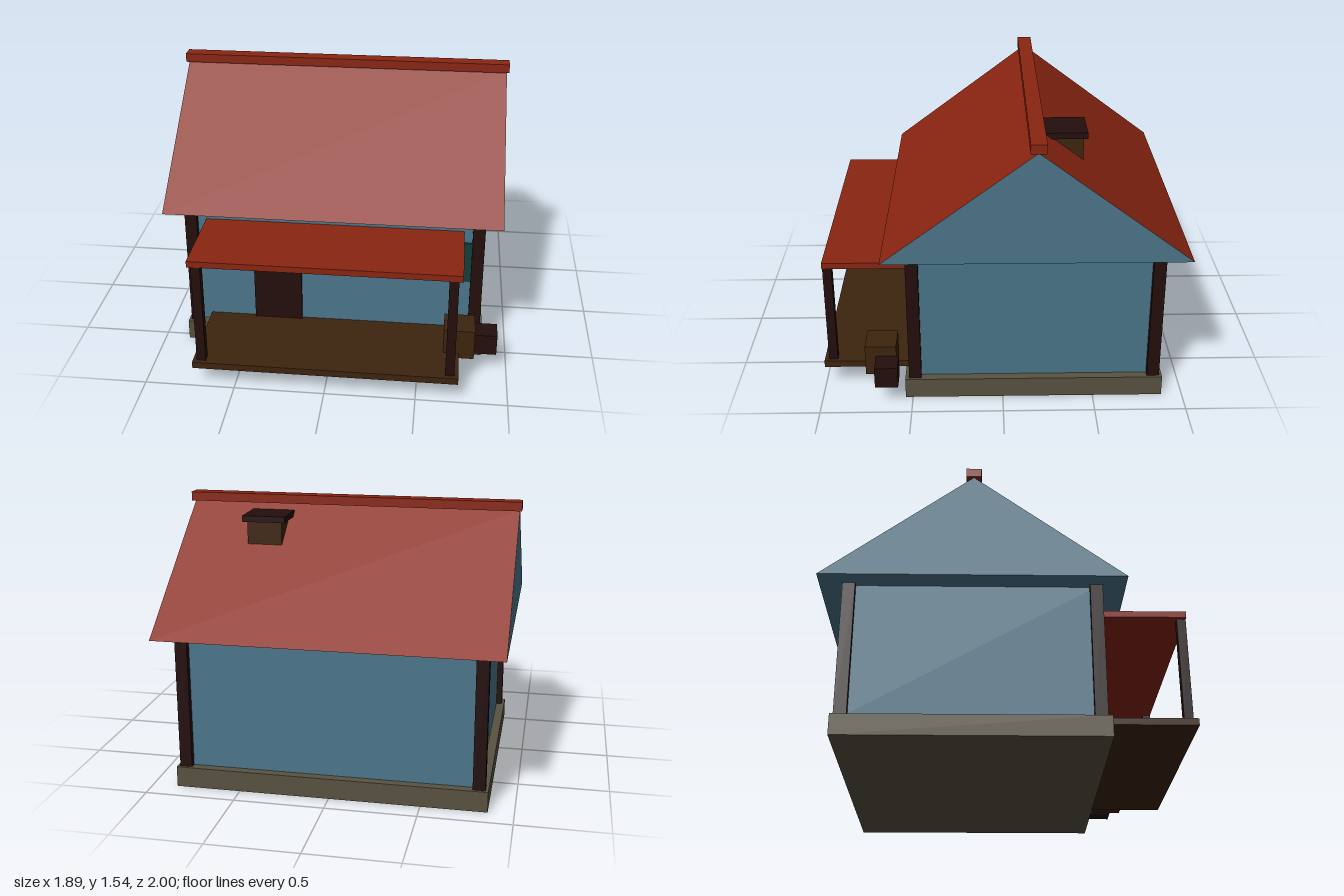
import * as THREE from 'three';

const material = (name, color, extra = {}) => {
  const m = new THREE.MeshStandardMaterial({ color, ...extra });
  m.name = name;
  return m;
};

export function createModel() {
  const house = new THREE.Group();
  house.name = 'house';

  const red = material('roofRed', 0x8a2510);
  const blue = material('wallBlue', 0x4b768b);
  const stone = material('foundationStone', 0x595242);
  const darkWood = material('darkWood', 0x240e0d);
  const brown = material('brownWood', 0x3e250e);
  const teal = material('shutterTeal', 0x103f3d);
  const glass = material('windowGlass', 0x253751);

  // Box given by its extents along x, y and z
  const box = (name, mat, [x0, x1], [y0, y1], [z0, z1]) => {
    const mesh = new THREE.Mesh(new THREE.BoxGeometry(x1 - x0, y1 - y0, z1 - z0), mat);
    mesh.position.set((x0 + x1) / 2, (y0 + y1) / 2, (z0 + z1) / 2);
    mesh.name = name;
    house.add(mesh);
    return mesh;
  };

  // Foundation, walls and corner posts
  box('foundation', stone, [-0.86, 0.86], [0, 0.115], [-0.885, 0.54]);
  box('walls', blue, [-0.81, 0.81], [0.115, 0.876], [-0.835, 0.485]);
  for (const x of [-0.81, 0.81]) {
    for (const z of [-0.835, 0.485]) {
      box('cornerPost', darkWood, [x - 0.034, x + 0.034], [0.115, 0.876], [z - 0.034, z + 0.034]);
    }
  }

  // Gable roof: red slopes, blue gable ends and soffit
  const point = (x, [y, z]) => [x, y, z];
  const front = [0.875, 0.645], back = [0.875, -0.995], peak = [1.49, -0.175];
  const [lf, lb, lp] = [front, back, peak].map((p) => point(-0.935, p));
  const [rf, rb, rp] = [front, back, peak].map((p) => point(0.935, p));
  const corners = [
    lf, rf, rp, lf, rp, lp, // front slope
    rb, lb, lp, rb, lp, rp, // back slope
    rf, rb, rp, lb, lf, lp, // gable ends
    lf, lb, rb, lf, rb, rf, // soffit
  ];
  const roofGeometry = new THREE.BufferGeometry();
  roofGeometry.setAttribute('position', new THREE.Float32BufferAttribute(corners.flat(), 3));
  roofGeometry.addGroup(0, 12, 0);
  roofGeometry.addGroup(12, 12, 1);
  roofGeometry.computeVertexNormals();
  const roof = new THREE.Mesh(roofGeometry, [red, blue]);
  roof.name = 'roof';
  house.add(roof);
  box('ridgeBeam', red, [-0.947, 0.947], [1.49, 1.54], [-0.217, -0.133]);

  // Chimney on the back slope
  box('chimney', brown, [0.355, 0.55], [1.2, 1.425], [-0.435, -0.25]);
  box('chimneyCap', darkWood, [0.332, 0.574], [1.422, 1.456], [-0.455, -0.227]);

  // Door with lintel
  box('door', darkWood, [-0.462, -0.187], [0.15, 0.635], [0.48, 0.502]);
  box('doorLintel', brown, [-0.503, -0.15], [0.633, 0.669], [0.48, 0.515]);

  // Two windows, each with a pair of shutters
  for (const x of [0.29, 0.61]) {
    box('windowPane', glass, [x - 0.115, x + 0.115], [0.465, 0.706], [0.485, 0.493]);
    for (const side of [-1, 1]) {
      const c = x + side * 0.155;
      box('shutter', teal, [c - 0.043, c + 0.043], [0.465, 0.706], [0.485, 0.499]);
    }
  }

  // Porch
  box('porchFloor', brown, [-0.728, 0.728], [0.116, 0.154], [0.485, 1.0]);
  box('porchRoof', red, [-0.728, 0.728], [0.741, 0.776], [0.485, 0.976]);
  for (const x of [-0.681, 0.681]) {
    box('porchPost', darkWood, [x - 0.025, x + 0.025], [0.154, 0.741], [0.927, 0.976]);
  }

  // Crates beside the porch
  box('largeCrate', brown, [0.64, 0.812], [0.122, 0.298], [0.587, 0.76]);
  box('smallCrate', darkWood, [0.812, 0.938], [0.118, 0.24], [0.574, 0.7]);

  return house;
}
